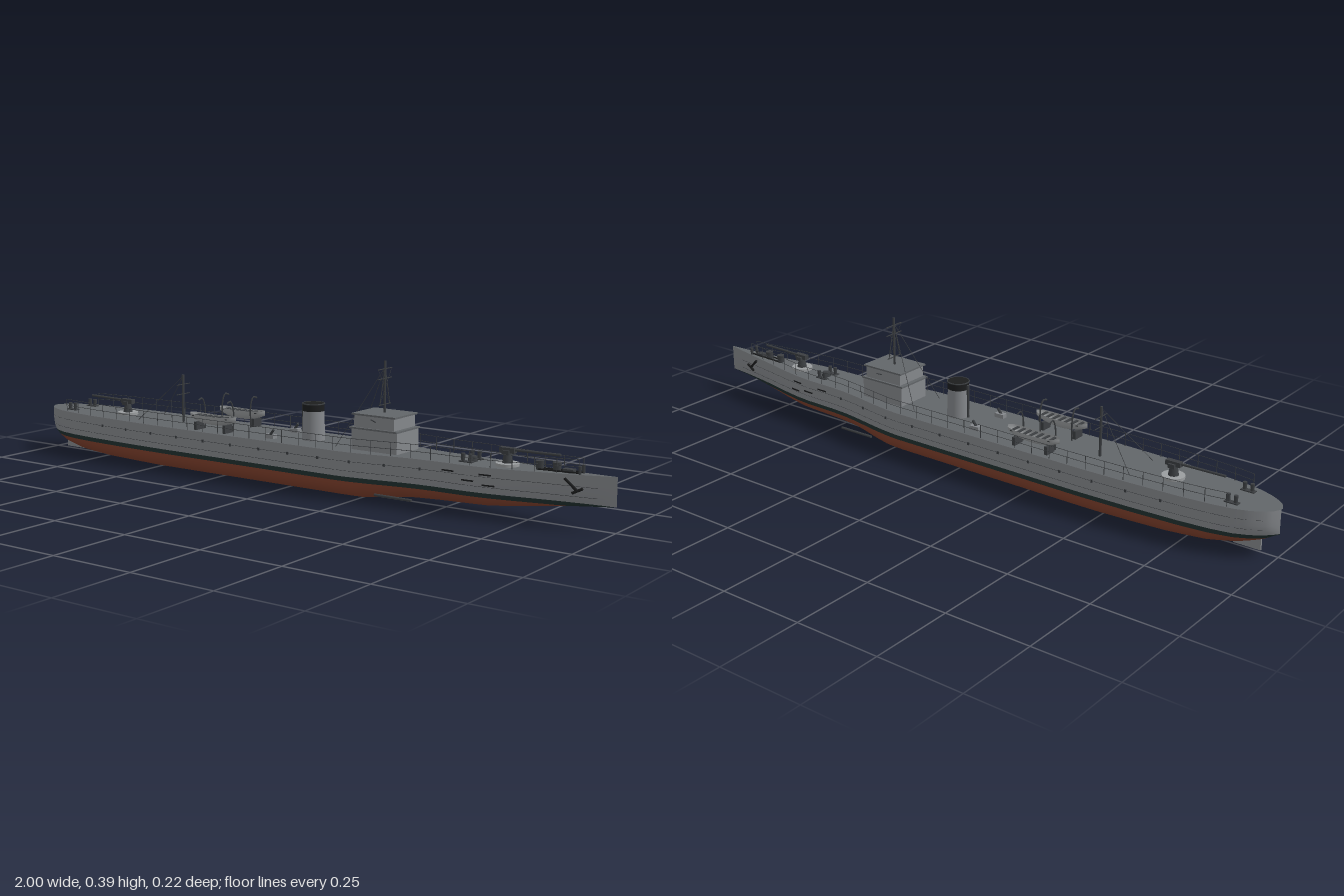
import * as THREE from 'three';

const mat = (name, color, side = THREE.FrontSide) => {
  const m = new THREE.MeshStandardMaterial({ color, side });
  m.name = name;
  return m;
};

// Piecewise interpolation through [x, value] pairs
const lerpTable = (table, x) => {
  for (let i = 1; i < table.length; i++) {
    const [x0, v0] = table[i - 1], [x1, v1] = table[i];
    if (x <= x1) return v0 + (v1 - v0) * Math.max(0, (x - x0) / (x1 - x0));
  }
  return table[table.length - 1][1];
};
const BEAM = [[-1, 0.004], [-0.99, 0.025], [-0.97, 0.043], [-0.94, 0.06], [-0.9, 0.074], [-0.84, 0.085], [-0.75, 0.094],
  [-0.6, 0.102], [-0.45, 0.106], [0.2, 0.106], [0.24, 0.103], [0.3, 0.094], [0.38, 0.079], [0.44, 0.07], [0.5, 0.066],
  [0.6, 0.064], [0.66, 0.058], [0.72, 0.048], [0.8, 0.033], [0.9, 0.017], [1, 0.001]];
const KEEL = [[-1, 0.066], [-0.96, 0.046], [-0.9, 0.027], [-0.82, 0.012], [-0.7, 0.004], [-0.5, 0], [0.26, 0], [0.32, 0.007],
  [0.4, 0.018], [0.5, 0.022], [0.64, 0.026], [0.72, 0.034], [0.85, 0.052], [1, 0.068]];
const beam = x => lerpTable(BEAM, x);
const keel = x => lerpTable(KEEL, x);
const deckY = x => 0.138 + 0.009 * Math.max(0, (x - 0.6) / 0.4) ** 2;
const halfWidth = (x, y) => {
  const s = Math.min(1, Math.max(0, (y - keel(x)) / 0.058));
  return beam(x) * (1 - (1 - s) ** 2.6) ** (1 / 2.6);
};

// Grid surface from a point rule, i along the hull and j across it
function surface(nx, nj, point, flip) {
  const pos = [], idx = [];
  for (let i = 0; i <= nx; i++) for (let j = 0; j <= nj; j++) pos.push(...point(i / nx, j / nj));
  for (let i = 0; i < nx; i++) for (let j = 0; j < nj; j++) {
    const a = i * (nj + 1) + j, b = a + nj + 1;
    if (flip) idx.push(a, b, a + 1, a + 1, b, b + 1);
    else idx.push(a, a + 1, b, a + 1, b + 1, b);
  }
  const g = new THREE.BufferGeometry();
  g.setAttribute('position', new THREE.Float32BufferAttribute(pos, 3));
  g.setIndex(idx);
  g.computeVertexNormals();
  return g;
}

export function createModel() {
  const ship = new THREE.Group();
  ship.name = 'warship';
  const grey = mat('hull grey', 0x85888c);
  const deckGrey = mat('deck grey', 0x626669);
  const red = mat('bottom red', 0x80402c);
  const boot = mat('waterline black', 0x20302f);
  const dark = mat('dark metal', 0x3c3f42);
  const black = mat('black', 0x1c1d1e);
  const light = mat('light grey', 0x9a9d9f, THREE.DoubleSide);

  const add = (name, geo, m, x = 0, y = 0, z = 0) => {
    const mesh = new THREE.Mesh(geo, m);
    mesh.name = name;
    mesh.position.set(x, y, z);
    ship.add(mesh);
    return mesh;
  };
  const box = (name, m, w, h, d, x, y, z) => add(name, new THREE.BoxGeometry(w, h, d), m, x, y, z);
  const cyl = (name, m, r0, r1, h, x, y, z, n = 16) => add(name, new THREE.CylinderGeometry(r1, r0, h, n), m, x, y + h / 2, z);
  const rod = (name, m, a, b, r, n = 5) => {
    const p = new THREE.Vector3(...a), q = new THREE.Vector3(...b), d = q.clone().sub(p);
    const mesh = add(name, new THREE.CylinderGeometry(r, r, d.length(), n), m);
    mesh.position.copy(p).add(q).multiplyScalar(0.5);
    mesh.quaternion.setFromUnitVectors(new THREE.Vector3(0, 1, 0), d.normalize());
    return mesh;
  };
  const tube = (name, m, points, r, segs = 60) => add(name, new THREE.TubeGeometry(
    new THREE.CatmullRomCurve3(points.map(p => new THREE.Vector3(...p))), segs, r, 4), m);
  const sides = f => [1, -1].forEach(f);

  // Hull bands: red bottom, waterline stripe, grey topsides
  const bands = [
    ['hullBottom', red, keel, () => 0.055, 14],
    ['waterline', boot, () => 0.055, () => 0.068, 2],
    ['topsides', grey, () => 0.068, deckY, 5],
  ];
  for (const [name, m, low, high, rows] of bands) sides(s => add(name, surface(160, rows, (u, v) => {
    const x = -1 + 2 * u, k = keel(x);
    const lo = Math.max(low(x), k), hi = Math.max(high(x), k);
    const y = lo + (hi - lo) * (1 - v) ** (m === red ? 2.5 : 1);
    return [x, y, s * halfWidth(x, y)];
  }, s < 0), m));
  add('deck', surface(160, 2, (u, v) => {
    const x = -1 + 2 * u;
    return [x, deckY(x), (2 * v - 1) * beam(x)];
  }), deckGrey);

  // Plating seams, portholes, shafts and anchors on each side
  sides(s => {
    for (const y of [0.085, 0.112]) {
      const pts = [];
      for (let x = -0.97; x < 0.99; x += 0.04) pts.push([x, y, s * halfWidth(x, y)]);
      tube('platingSeam', dark, pts, 0.0006, 100);
    }
    for (let x = -0.7; x < 0.5; x += 0.105)
      box('hullFitting', dark, 0.006, 0.008, 0.005, x, 0.112, s * halfWidth(x, 0.112));
    for (const [x, y] of [[0.54, 0.118], [0.65, 0.118], [0.6, 0.098], [0.66, 0.09]]) {
      const slot = box('hullSlot', black, 0.035, 0.004, 0.003, x, y, s * halfWidth(x, y));
      slot.rotation.y = s * Math.atan2(beam(x - 0.02) - beam(x + 0.02), 0.04);
    }
    rod('shaft', dark, [0.32, 0.025, s * 0.086], [0.44, 0.025, s * 0.086], 0.004, 8);
    rod('anchorShank', black, [0.865, 0.132, s * 0.027], [0.9, 0.1, s * 0.021], 0.004);
    rod('anchorArms', black, [0.885, 0.094, s * 0.023], [0.913, 0.108, s * 0.019], 0.004);
  });
  box('rudder', grey, 0.08, 0.045, 0.006, -0.91, 0.028, 0);

  // Deck railing
  sides(s => {
    const at = (x, h) => [x, deckY(x) + h, s * Math.max(0.006, beam(x) - 0.005)];
    for (const h of [0.02, 0.039]) {
      const pts = [];
      for (let i = 0; i <= 40; i++) pts.push(at(-0.88 + i * 0.0445, h));
      tube('railing', dark, pts, 0.0008, 90);
    }
    for (let i = 0; i <= 30; i++) {
      const x = -0.88 + i * 0.0593;
      rod('stanchion', dark, at(x, 0), at(x, 0.039), 0.0011, 4);
    }
  });

  // Bridge
  box('bridgeHouse', grey, 0.15, 0.06, 0.112, 0.297, 0.168, 0);
  box('bridgeDeck', deckGrey, 0.158, 0.005, 0.12, 0.295, 0.2, 0);
  box('wheelhouse', grey, 0.132, 0.036, 0.108, 0.295, 0.22, 0);
  box('bridgeRoof', deckGrey, 0.144, 0.005, 0.116, 0.295, 0.239, 0);
  sides(s => rod('bridgeLampArm', dark, [0.3, 0.222, s * 0.054], [0.3, 0.232, s * 0.076], 0.0018));

  // Foremast with tripod legs, yards and stays
  rod('foremast', dark, [0.295, 0.24, 0], [0.295, 0.388, 0], 0.0035, 8);
  for (const [y, w] of [[0.365, 0.035], [0.338, 0.034], [0.265, 0.03]])
    rod('yard', dark, [0.295, y, -w], [0.295, y, w], 0.0016);
  sides(s => {
    rod('mastLeg', dark, [0.295, 0.265, s * 0.025], [0.295, 0.372, 0], 0.0014);
    rod('yardStay', dark, [0.295, 0.365, s * 0.034], [0.295, 0.265, -s * 0.025], 0.0006, 4);
    rod('forestay', dark, [0.295, 0.37, 0], [0.17, 0.14, s * 0.06], 0.0008, 4);
  });

  // Funnel
  cyl('funnel', grey, 0.034, 0.031, 0.086, 0.05, 0.138, 0, 24);
  cyl('funnelCap', black, 0.032, 0.032, 0.022, 0.05, 0.223, 0, 24);
  const rim = add('funnelRim', new THREE.TorusGeometry(0.032, 0.002, 6, 24), dark, 0.05, 0.244, 0);
  rim.rotation.x = Math.PI / 2;
  cyl('funnelPipe', dark, 0.004, 0.004, 0.1, 0.014, 0.138, 0, 8);

  // Mainmast
  rod('mainmast', dark, [-0.447, 0.138, 0], [-0.447, 0.285, 0], 0.004, 8);
  for (const y of [0.225, 0.255]) rod('mainYard', dark, [-0.447, y, -0.03], [-0.447, y, 0.03], 0.0015);
  sides(s => rod('mainStay', dark, [-0.447, 0.28, 0], [-0.58, 0.139, s * 0.06], 0.0008, 4));

  // Lifeboats on cradles with thwarts and davits
  sides(s => {
    const cz = s * 0.07, len = 0.088;
    add('lifeboat', surface(20, 10, (u, v) => {
      const t = 2 * u - 1, a = Math.PI * v, w = 0.021 * Math.sqrt(Math.max(0, 1 - t ** 4));
      return [-0.27 + t * len, 0.184 + 0.004 * t * t - 0.028 * Math.sin(a) * (1 - 0.5 * t * t), cz + w * Math.cos(a)];
    }), light);
    for (let i = -3; i <= 3; i++) box('thwart', dark, 0.008, 0.003, 0.036, -0.27 + i * 0.021, 0.181, cz);
    for (const x of [-0.325, -0.215]) {
      box('boatCradle', dark, 0.01, 0.025, 0.036, x, 0.15, cz);
      tube('davit', dark, [[x, 0.138, s * 0.042], [x, 0.205, s * 0.042], [x, 0.23, s * 0.054], [x, 0.226, s * 0.072]], 0.0028, 14);
    }
  });

  // Deck guns; dir is the way the barrel points
  const gun = (x, dir) => {
    const y = deckY(x);
    cyl('gunPlatform', light, 0.032, 0.032, 0.008, x, y, 0, 24);
    cyl('gunPedestal', dark, 0.015, 0.01, 0.026, x, y + 0.008, 0, 12);
    box('gunBreech', dark, 0.045, 0.014, 0.016, x, y + 0.042, 0);
    rod('gunBarrel', dark, [x, y + 0.044, 0], [x + dir * 0.155, y + 0.046, 0], 0.0038, 8);
    sides(s => box('gunSight', dark, 0.02, 0.012, 0.006, x, y + 0.037, s * 0.013));
  };
  gun(-0.68, -1);
  gun(0.685, 1);

  // Bollards, vents and lockers
  const bollards = (x, z) => {
    box('bollardBase', dark, 0.04, 0.003, 0.016, x, deckY(x) + 0.002, z);
    for (const d of [-0.011, 0.011]) cyl('bollard', dark, 0.005, 0.006, 0.024, x + d, deckY(x), z, 10);
  };
  sides(s => {
    bollards(-0.88, s * 0.045);
    bollards(0.575, s * 0.025);
    box('deckLocker', grey, 0.03, 0.012, 0.018, -0.06, 0.144, s * 0.06);
    rod('ventPipe', dark, [-0.07, 0.138, s * 0.06], [-0.05, 0.164, s * 0.06], 0.004, 8);
    rod('anchorChain', black, [0.78, deckY(0.78) + 0.003, s * 0.009], [0.9, deckY(0.9) + 0.003, s * 0.009], 0.0025);
    cyl('bowBitt', dark, 0.004, 0.005, 0.022, 0.9, deckY(0.9), s * 0.011, 8);
  });

  // Foredeck winch and capstans
  cyl('winch', dark, 0.014, 0.012, 0.014, 0.58, 0.138, 0, 16);
  for (const x of [0.78, 0.83]) cyl('capstan', dark, 0.01, 0.012, 0.024, x, deckY(x), 0, 12);
  box('chainStopper', dark, 0.03, 0.01, 0.02, 0.865, deckY(0.865) + 0.005, 0);
  return ship;
}
